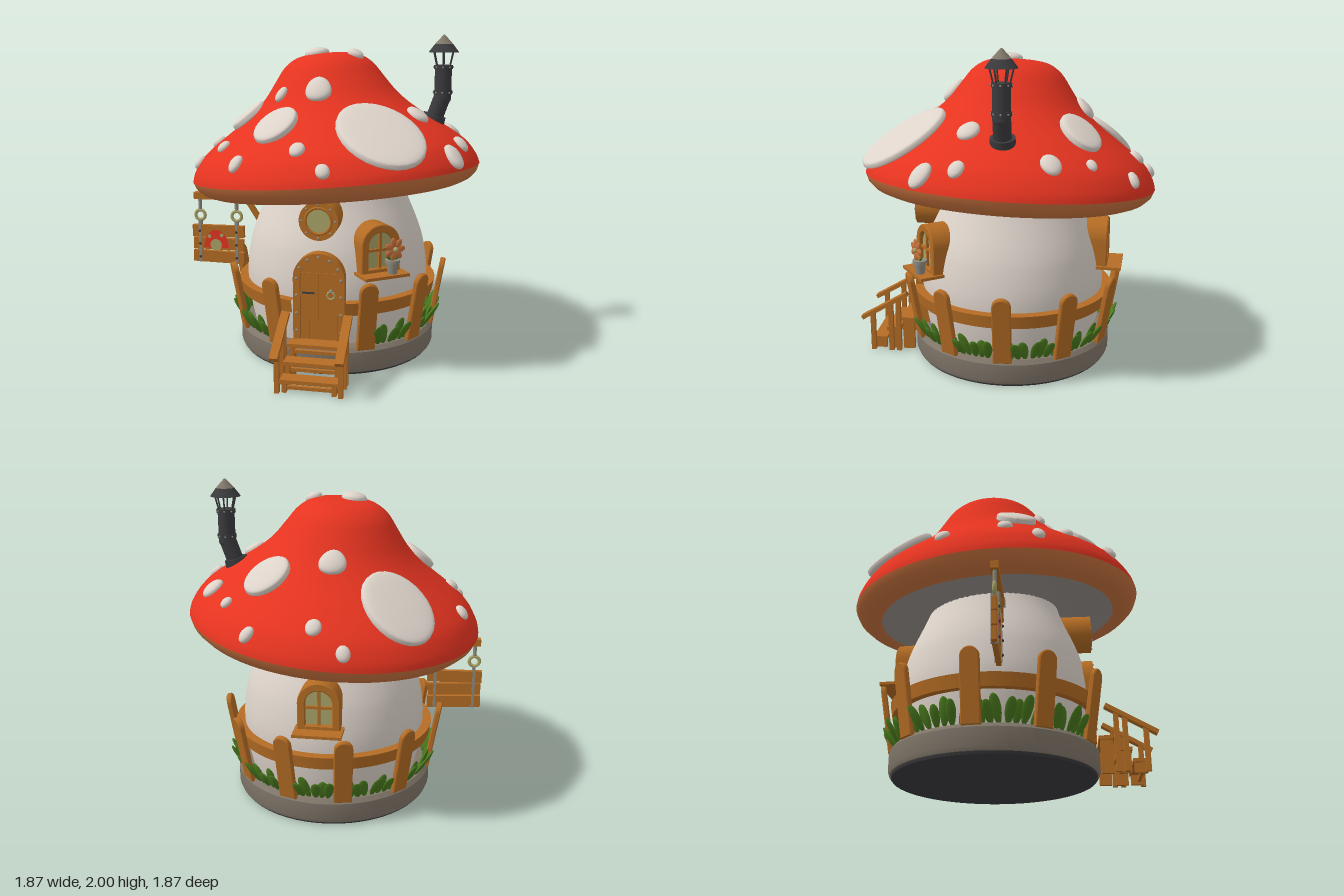
import * as THREE from 'three';
import { toCreasedNormals } from 'three/addons/utils/BufferGeometryUtils.js';

const CX = 0.03, CZ = -0.04, RAD = Math.PI / 180;
const mat = (name, color) => {
  const m = new THREE.MeshStandardMaterial({ color });
  m.name = name;
  return m;
};
const V = (x, y, z) => new THREE.Vector3(x, y, z);
const P = list => list.map(([x, y]) => new THREE.Vector2(x, y));

export function createModel() {
  const red = mat('cap red', 0xe63420), cream = mat('cream', 0xddd3ca), tan = mat('rim brown', 0xc8723e);
  const gill = mat('gill grey', 0x98928c), wood = mat('wood', 0xb46c24), stone = mat('stone', 0x81776a);
  const iron = mat('iron', 0x3b3b3e), leaf = mat('leaf green', 0x4a7a1d), glass = mat('glass', 0xa9a468);
  const metal = mat('metal', 0x8f8c80);

  const root = new THREE.Group();
  root.name = 'mushroomHouse';
  const group = (name, parent = root) => {
    const g = new THREE.Group();
    g.name = name;
    parent.add(g);
    return g;
  };
  const add = (parent, name, geo, m, p = [0, 0, 0], r = [0, 0, 0]) => {
    const mesh = new THREE.Mesh(geo, m);
    mesh.name = name;
    mesh.position.set(...p);
    mesh.rotation.set(...r);
    parent.add(mesh);
    return mesh;
  };
  const box = (parent, name, m, w, h, d, p, r) => add(parent, name, new THREE.BoxGeometry(w, h, d), m, p, r);
  const ball = (parent, name, m, r, p) => add(parent, name, new THREE.SphereGeometry(r, 10, 8), m, p);
  const rod = (parent, name, m, a, b, r, r2 = r) => {
    const d = b.clone().sub(a);
    const mesh = add(parent, name, new THREE.CylinderGeometry(r2, r, d.length(), 20), m);
    mesh.position.copy(a).addScaledVector(d, 0.5);
    mesh.quaternion.setFromUnitVectors(V(0, 1, 0), d.normalize());
    return mesh;
  };
  // group on the house wall at angle a (0 = front) and distance R
  const onWall = (name, a, R, y) => {
    const g = group(name);
    g.position.set(CX + R * Math.sin(a), y, CZ + R * Math.cos(a));
    g.rotation.y = a;
    return g;
  };
  const arch = (w, h, C = THREE.Shape, y = 0) => {
    const s = new C();
    s.moveTo(-w, y);
    s.lineTo(w, y);
    s.lineTo(w, h - w);
    s.absarc(0, h - w, w, 0, Math.PI, false);
    s.lineTo(-w, y);
    return s;
  };
  const slab = (shape, depth, bevel = 0) => new THREE.ExtrudeGeometry(shape, {
    depth, curveSegments: 14, bevelEnabled: bevel > 0, bevelSize: bevel, bevelThickness: bevel, bevelSegments: 1 });

  // stone base, dark underside and trunk
  const lathe = (pts, n = 56) => new THREE.LatheGeometry(P(pts), n);
  add(root, 'baseUnderside', new THREE.CylinderGeometry(0.618, 0.612, 0.02, 56), iron, [CX, 0.01, CZ]);
  add(root, 'stoneBase', toCreasedNormals(lathe([[0.6, 0.015], [0.625, 0.016], [0.635, 0.04], [0.635, 0.145],
    [0.615, 0.17], [0, 0.172]]), 0.5), stone, [CX, 0, CZ]);
  const trunk = new THREE.SplineCurve(P([[0.54, 0.16], [0.565, 0.28], [0.583, 0.42], [0.584, 0.55], [0.56, 0.7],
    [0.53, 0.8], [0.49, 0.9], [0.448, 1.0], [0.415, 1.1], [0.39, 1.25]])).getPoints(30);
  add(root, 'trunk', new THREE.LatheGeometry(trunk, 56), cream, [CX, 0, CZ]);

  // tilted cap
  const cap = group('cap');
  cap.position.set(0.022, 1.165, -0.027);
  cap.rotation.set(-0.055, 0, 0.082);
  cap.updateMatrixWorld(true);
  const prof = new THREE.SplineCurve(P([[0.912, -0.02], [0.897, 0.03], [0.845, 0.112], [0.77, 0.18], [0.67, 0.252],
    [0.56, 0.33], [0.476, 0.4], [0.41, 0.47], [0.347, 0.557], [0.28, 0.648], [0.2, 0.703], [0.1, 0.722],
    [0, 0.725]])).getPoints(48);
  add(cap, 'capTop', new THREE.LatheGeometry(prof, 64), red);
  add(cap, 'capRim', lathe([[0.74, -0.095], [0.775, -0.118], [0.81, -0.118], [0.855, -0.1], [0.895, -0.062],
    [0.912, -0.02]], 64), tan);
  let gills = lathe([[0.3, -0.075], [0.55, -0.095], [0.77, -0.105]], 144);
  const gp = gills.attributes.position;
  for (let i = 0; i < gp.count; i++) if (Math.floor(i / 3) % 2) gp.setY(i, gp.getY(i) + 0.006);
  gills = gills.toNonIndexed();
  gills.computeVertexNormals();
  add(cap, 'gills', gills, gill);

  // cap spots: small domes wrapped over the cap, large ones as flat tilted discs
  const capHeight = r => {
    if (r > 0.86) return 0.095 - (r - 0.86) * 1.3;
    let i = prof.length - 1;
    while (i > 1 && prof[i - 1].x < r) i--;
    const a = prof[i], b = prof[i - 1];
    return a.y + (b.y - a.y) * (r - a.x) / (b.x - a.x);
  };
  const surface = (x, z) => V(x, capHeight(Math.hypot(x, z)), z);
  const spot = (flat, x, z, rx, rz) => {
    const c = V(x, 0, z);
    for (let i = 0; i < 8; i++) {
      const w = cap.localToWorld(surface(c.x, c.z));
      c.x += x - w.x;
      c.z += z - w.z;
    }
    const cr = Math.hypot(c.x, c.z), tilt = -0.72;
    const geo = new THREE.SphereGeometry(1, 28, 20), pos = geo.attributes.position;
    for (let i = 0; i < pos.count; i++) {
      const dx = pos.getX(i) * rx, dz = pos.getZ(i) * rz, y = pos.getY(i), e = 0.02;
      const lx = c.x + dx, lz = c.z + dz, r = Math.hypot(lx, lz) + 1e-6;
      const slope = (capHeight(r + e) - capHeight(Math.max(0, r - e))) / (2 * e);
      const n = flat ? V(-tilt * c.x / cr, 1, -tilt * c.z / cr) : V(-slope * lx / r, 1, -slope * lz / r);
      const p = flat ? V(lx, capHeight(cr) + tilt * (dx * c.x + dz * c.z) / cr, lz) : surface(lx, lz);
      const top = flat ? Math.pow(Math.max(y, 0), 0.4) * 0.045 : Math.pow(Math.max(y, 0), 0.75) * (0.022 + 0.22 * rx);
      p.addScaledVector(n.normalize(), y > 0 ? top : y * 0.03);
      pos.setXYZ(i, p.x, p.y, p.z);
    }
    geo.computeVertexNormals();
    add(cap, 'capSpot', geo, cream);
  };
  [[-0.36, -0.602, 0.213, 0.2], [0.385, 0.567, 0.25, 0.235], [0.385, -0.465, 0.127, 0.122], [-0.23, 0.505, 0.13, 0.122],
    [-0.495, 0.133, 0.1, 0.12]].forEach(s => spot(true, ...s));
  [[-0.07, -0.9, 0.04, 0.03], [0.095, -0.81, 0.045, 0.04], [0.465, -0.775, 0.038, 0.03], [0.615, -0.535, 0.03, 0.03],
    [0.735, -0.315, 0.055, 0.06], [0.01, -0.485, 0.08, 0.052], [0.555, 0.16, 0.06, 0.065], [0.815, 0.19, 0.038, 0.045],
    [0.785, 0.395, 0.05, 0.06], [-0.095, -0.015, 0.077, 0.077], [0.152, 0.022, 0.048, 0.048], [-0.015, 0.335, 0.078, 0.052],
    [-0.255, 0.27, 0.036, 0.03], [-0.75, -0.28, 0.035, 0.045], [-0.717, 0.08, 0.038, 0.045], [-0.782, 0.275, 0.028, 0.036],
    [-0.57, 0.437, 0.036, 0.036], [-0.42, 0.687, 0.04, 0.038], [-0.055, 0.73, 0.045, 0.04], [0.11, 0.845, 0.04, 0.028],
  ].forEach(s => spot(false, ...s));

  // chimney
  const chim = group('chimney'), X = 0.693, Z = -0.043;
  rod(chim, 'chimneyFoot', iron, V(0.628, 1.45, Z), V(0.645, 1.51, Z), 0.077, 0.072);
  rod(chim, 'lowerPipe', iron, V(0.638, 1.47, Z), V(X, 1.63, Z), 0.052);
  rod(chim, 'upperPipe', iron, V(X, 1.61, Z), V(X, 1.815, Z), 0.052);
  ball(chim, 'elbow', iron, 0.053, [X, 1.62, Z]);
  [1.65, 1.805].forEach(y => {
    rod(chim, 'pipeRing', iron, V(X, y - 0.012, Z), V(X, y + 0.012, Z), 0.058);
    for (let i = 0; i < 8; i++)
      ball(chim, 'pipeRivet', metal, 0.006, [X + 0.057 * Math.sin(i * 45 * RAD), y, Z + 0.057 * Math.cos(i * 45 * RAD)]);
  });
  for (let i = 0; i < 6; i++) {
    const s = Math.sin(i * 60 * RAD), c = Math.cos(i * 60 * RAD);
    rod(chim, 'hatStrut', iron, V(X + 0.045 * s, 1.81, Z + 0.045 * c), V(X + 0.07 * s, 1.91, Z + 0.07 * c), 0.005);
  }
  rod(chim, 'chimneyHat', iron, V(X, 1.895, Z), V(X, 1.945, Z), 0.093, 0.055);
  rod(chim, 'hatTip', stone, V(X, 1.945, Z), V(X, 2, Z), 0.055, 0.005);

  // fence
  const posts = [26, 58, 90, 124, 157, 188, 223, 263, 300, 335];
  const postGeo = slab(arch(0.05, 0.425), 0.022, 0.006);
  posts.forEach(a => add(onWall('fencePost', a * RAD, 0.612, 0.165), 'post', postGeo, wood, [0, 0, 0], [0.17, 0, 0]));
  const rail = new THREE.LatheGeometry(P([[0.585, 0.375], [0.628, 0.375], [0.642, 0.455], [0.585, 0.455], [0.585, 0.375]]),
    60, 15 * RAD, 330 * RAD);
  add(root, 'fenceRail', toCreasedNormals(rail, 0.6), wood, [CX, 0, CZ]);

  // grass between the posts, each blade widening to a rounded tip
  const blade = new THREE.SphereGeometry(1, 10, 10).translate(0, 1, 0).scale(0.03, 0.085, 0.014);
  const bp = blade.attributes.position;
  for (let i = 0; i < bp.count; i++) bp.setX(i, bp.getX(i) * (0.75 + 3 * bp.getY(i)));
  blade.computeVertexNormals();
  for (let i = 0; i < posts.length - 1; i++) for (let k = 0; k < 7; k++) {
    const t = (k + 0.5) / 7, a = posts[i] + (posts[i + 1] - posts[i]) * (0.1 + 0.8 * t);
    const b = add(onWall('grass', a * RAD, 0.595, 0.165), 'blade', blade, leaf, [0, 0, 0],
      [0.35 + 0.2 * (k % 2), 0, (0.5 - t) * 0.8 + 0.12 * (k % 3 - 1)]);
    b.scale.y = 0.85 + 0.18 * ((k * 5 + i) % 3) / 2;
  }

  // door
  const door = group('door');
  door.position.set(CX, 0.19, -0.015);
  const frame = arch(0.155, 0.56);
  frame.holes.push(arch(0.113, 0.515, THREE.Path, 0.02));
  add(door, 'doorFrame', slab(frame, 0.15), wood, [0, 0, 0.44]);
  add(door, 'doorPanel', slab(arch(0.115, 0.517), 0.12), wood, [0, 0, 0.445]);
  [-0.084, -0.028, 0.028, 0.084].forEach(x =>
    box(door, 'doorPlank', wood, 0.05, 0.41, 0.008, [x, 0.23, 0.566]));
  box(door, 'handleBar', iron, 0.075, 0.01, 0.01, [-0.065, 0.312, 0.572]);
  add(door, 'doorHandle', new THREE.TorusGeometry(0.022, 0.006, 8, 20), glass, [0.072, 0.305, 0.58]);
  ball(door, 'handleMount', metal, 0.012, [0.072, 0.33, 0.575]);
  for (let i = 0; i < 7; i++) {
    const t = i * 30 * RAD;
    ball(door, 'doorRivet', metal, 0.009, [0.134 * Math.cos(t), 0.403 + 0.134 * Math.sin(t), 0.59]);
  }
  [-1, 1].forEach(s => [0.08, 0.19, 0.3].forEach(y => ball(door, 'doorRivet', metal, 0.009, [s * 0.134, y, 0.59])));

  // front stairs with handrails
  const stairs = group('stairs');
  stairs.position.x = CX;
  [[0.21, 0.63], [0.14, 0.73], [0.07, 0.82]].forEach(([y, z]) => {
    box(stairs, 'tread', wood, 0.34, 0.022, 0.09, [0, y, z]);
    box(stairs, 'riser', wood, 0.32, 0.02, 0.02, [0, y - 0.045, z + 0.01]);
    [-1, 1].forEach(s => box(stairs, 'treadLeg', wood, 0.025, y, 0.075, [s * 0.145, y / 2, z]));
  });
  [-1, 1].forEach(s => {
    [[0.86, 0.27], [0.74, 0.33], [0.69, 0.36]].forEach(([z, h]) =>
      box(stairs, 'baluster', wood, 0.028, h, 0.03, [s * 0.185, h / 2, z]));
    box(stairs, 'handrail', wood, 0.05, 0.026, 0.345, [s * 0.187, 0.31, 0.778], [0.52, 0, 0]);
  });

  // round window above the door
  const round = group('roundWindow');
  round.position.set(CX, 0.945, 0);
  const ring = new THREE.Shape().absarc(0, 0, 0.117, 0, Math.PI * 2);
  ring.holes.push(new THREE.Path().absarc(0, 0, 0.075, 0, Math.PI * 2));
  add(round, 'roundFrame', toCreasedNormals(slab(ring, 0.19), 0.5), wood, [0, 0, 0.385]);
  add(round, 'roundLip', new THREE.TorusGeometry(0.078, 0.009, 8, 32), wood, [0, 0, 0.573]);
  add(round, 'roundGlass', new THREE.CircleGeometry(0.078, 32), glass, [0, 0, 0.555]);
  for (let i = 0; i < 8; i++)
    ball(round, 'roundRivet', metal, 0.008, [0.1 * Math.sin(i * 45 * RAD), 0.1 * Math.cos(i * 45 * RAD), 0.576]);

  // arched windows with sills
  [35, 175].forEach(a => {
    const w = onWall('archWindow', a * RAD, 0.45, 0.615);
    const f = arch(0.122, 0.295);
    f.holes.push(arch(0.086, 0.258, THREE.Path, 0.03));
    add(w, 'windowFrame', slab(f, 0.165, 0.006), wood);
    add(w, 'windowGlass', slab(arch(0.088, 0.26), 0.145), glass);
    box(w, 'windowBar', wood, 0.016, 0.24, 0.02, [0, 0.14, 0.15]);
    box(w, 'windowBar', wood, 0.18, 0.016, 0.02, [0, 0.145, 0.15]);
    box(w, 'windowSill', wood, 0.29, 0.018, 0.2, [0, 0.003, 0.16]);
  });

  // potted flower
  const pot = onWall('flowerPot', 39 * RAD, 0.675, 0.63);
  rod(pot, 'pot', metal, V(0, 0, 0), V(0, 0.07, 0), 0.028, 0.038);
  rod(pot, 'potRim', metal, V(0, 0.066, 0), V(0, 0.085, 0), 0.044);
  rod(pot, 'flowerStem', leaf, V(0, 0.07, 0), V(0, 0.15, 0.015), 0.006);
  ball(pot, 'flowerCentre', glass, 0.016, [0, 0.15, 0.03]);
  for (let i = 0; i < 7; i++) {
    const t = i * 360 / 7 * RAD;
    add(pot, 'petal', new THREE.SphereGeometry(1, 8, 6).scale(0.034, 0.02, 0.008), tan,
      [0.038 * Math.cos(t), 0.15 + 0.038 * Math.sin(t), 0.022], [0, 0, t]);
  }
  [-1, 1].forEach(s => add(pot, 'flowerLeaf', new THREE.SphereGeometry(1, 8, 6).scale(0.03, 0.011, 0.008), leaf,
    [s * 0.028, 0.1, 0.01], [0, 0, s * 0.6]));

  // hanging sign
  const sign = group('hangingSign');
  sign.position.z = 0.035;
  box(sign, 'signBeam', wood, 0.53, 0.045, 0.045, [-0.655, 0.953, 0]);
  box(sign, 'beamBracket', metal, 0.05, 0.052, 0.052, [-0.445, 0.953, 0]);
  rod(sign, 'signBrace', wood, V(-0.575, 0.965, 0), V(-0.465, 0.79, 0), 0.02);
  [[0.715, 0.355, 0.01], [0.627, 0.345, -0.015], [0.538, 0.35, -0.02]].forEach(([y, w, r]) =>
    box(sign, 'signPlank', wood, w, 0.078, 0.03, [-0.76, y, 0], [0, 0, r]));
  [-0.885, -0.633].forEach(x => {
    rod(sign, 'signHook', metal, V(x, 0.86, 0), V(x, 0.94, 0), 0.012);
    add(sign, 'signRing', new THREE.TorusGeometry(0.033, 0.011, 8, 20), glass, [x, 0.82, 0]);
    box(sign, 'signStrap', metal, 0.018, 0.29, 0.042, [x, 0.645, 0]);
    [0.715, 0.627, 0.538].forEach(y => ball(sign, 'signRivet', iron, 0.009, [x, y, 0.022]));
  });
  // painted mushroom on the sign
  add(sign, 'paintedCap', new THREE.CircleGeometry(0.085, 24, 0, Math.PI).scale(1, 1.45, 1), red, [-0.772, 0.602, 0.018]);
  add(sign, 'paintedStem', new THREE.CircleGeometry(0.04, 20), glass, [-0.775, 0.622, 0.02]);
  [[-0.82, 0.68], [-0.735, 0.69]].forEach(([x, y]) =>
    add(sign, 'paintedDot', new THREE.CircleGeometry(0.013, 14), glass, [x, y, 0.02]));
  return root;
}
